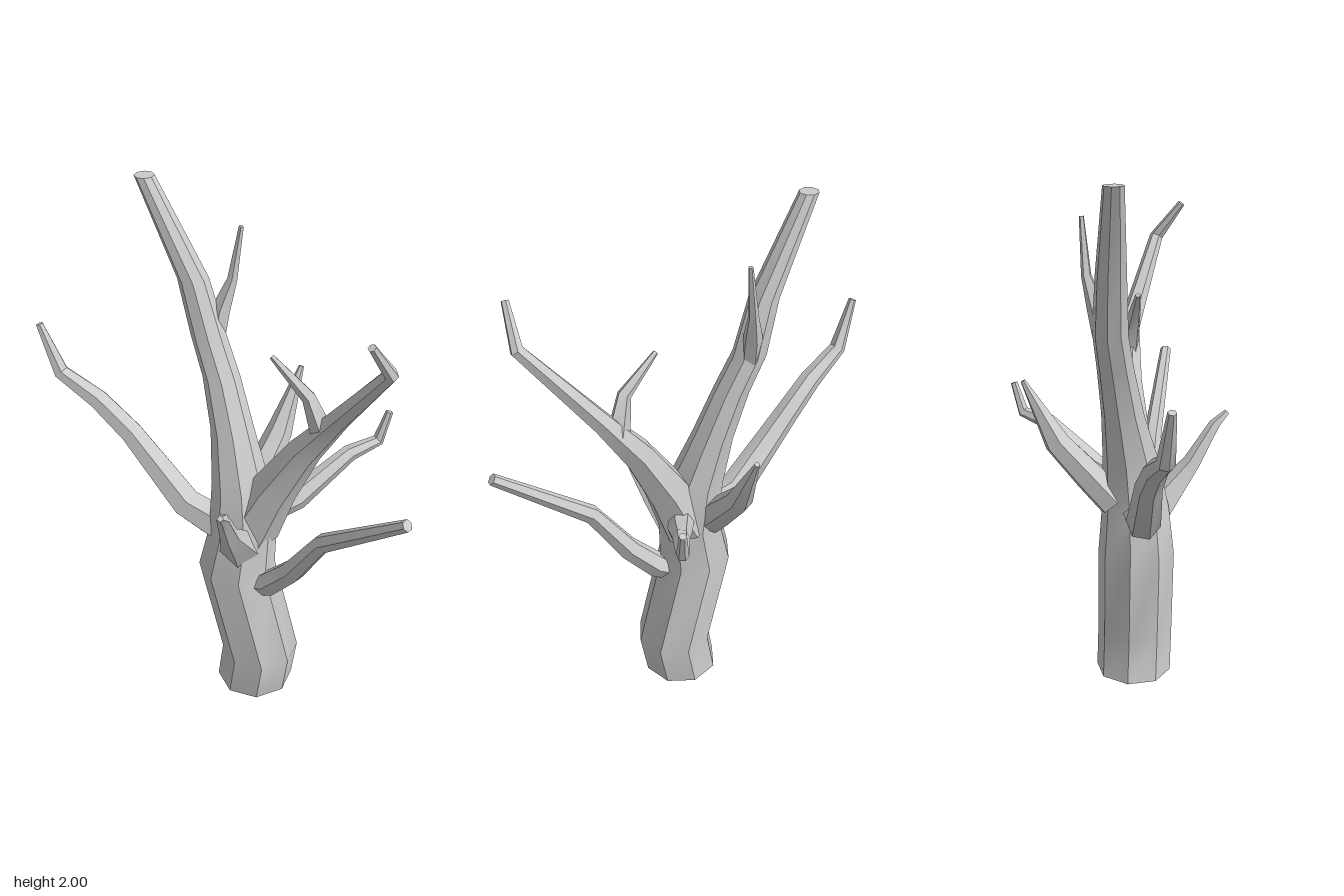
import * as THREE from 'three';
import { toCreasedNormals } from 'three/addons/utils/BufferGeometryUtils.js';

const material = new THREE.MeshStandardMaterial({ color: 0xcccccc });
const UP = new THREE.Vector3(0, 1, 0);

// Faceted tapering limb through stations [x, y, z, radius].
// level: keep every ring horizontal instead of square to the path.
function limb(name, sides, stations, level = false) {
  const centres = stations.map(([x, y, z]) => new THREE.Vector3(x, y, z));
  const last = centres.length - 1;
  const rings = centres.map((c, i) => {
    const dir = centres[Math.min(i + 1, last)].clone().sub(centres[Math.max(i - 1, 0)]).normalize();
    const turn = new THREE.Quaternion();
    if (!level) turn.setFromUnitVectors(UP, dir);
    return Array.from({ length: sides }, (_, k) => {
      const a = (k / sides) * Math.PI * 2;
      return new THREE.Vector3(Math.cos(a), 0, Math.sin(a))
        .multiplyScalar(stations[i][3]).applyQuaternion(turn).add(c);
    });
  });
  const corners = [];
  for (let k = 0; k < sides; k++) {
    const n = (k + 1) % sides;
    for (let i = 0; i < last; i++) {
      const a = rings[i][k], b = rings[i][n], c = rings[i + 1][k], d = rings[i + 1][n];
      corners.push(a, c, b, b, c, d);
    }
    corners.push(centres[0], rings[0][k], rings[0][n]);
    corners.push(centres[last], rings[last][n], rings[last][k]);
  }
  // Soft bends along the limb, sharp edges between its sides
  const geometry = toCreasedNormals(new THREE.BufferGeometry().setFromPoints(corners), 0.6);
  const mesh = new THREE.Mesh(geometry, material);
  mesh.name = name;
  return mesh;
}

export function createModel() {
  const tree = new THREE.Group();
  tree.name = 'bareTree';

  // Trunk running on into the tall rear limb
  tree.add(limb('trunk', 8, [
    [-0.095, 0, 0.087, 0.148], [-0.095, 0.17, 0.115, 0.148], [-0.113, 0.55, 0.01, 0.146],
    [-0.105, 0.73, 0.035, 0.128], [-0.09, 0.92, 0.01, 0.107], [-0.068, 1.12, -0.05, 0.08],
    [-0.052, 1.31, -0.118, 0.068], [-0.045, 1.45, -0.185, 0.064], [-0.056, 1.66, -0.245, 0.056],
    [-0.095, 2, -0.428, 0.036],
  ], true));

  // Tall front limb with its small twig
  tree.add(limb('frontLimb', 6, [
    [-0.085, 0.74, 0.06, 0.11], [-0.06, 0.94, 0.15, 0.086], [-0.03, 1.15, 0.267, 0.062],
    [-0.02, 1.33, 0.4, 0.042], [-0.09, 1.645, 0.655, 0.026], [-0.19, 1.78, 0.65, 0.014],
  ]));
  tree.add(limb('frontLimbTwig', 5, [
    [-0.025, 1.26, 0.34, 0.045], [-0.055, 1.395, 0.3, 0.027], [-0.09, 1.515, 0.16, 0.01],
  ]));

  // Twig on the rear limb
  tree.add(limb('rearLimbTwig', 5, [
    [-0.015, 1.44, -0.175, 0.035], [0.005, 1.54, -0.17, 0.036],
    [0.045, 1.65, -0.15, 0.019], [0.066, 1.85, -0.125, 0.009],
  ]));

  // Long branch reaching backwards
  tree.add(limb('rearBranch', 6, [
    [-0.14, 0.72, -0.04, 0.072], [-0.17, 0.758, -0.2, 0.064], [-0.22, 1.0, -0.44, 0.048],
    [-0.26, 1.11, -0.57, 0.042], [-0.31, 1.195, -0.72, 0.032], [-0.335, 1.385, -0.79, 0.015],
  ]));

  // Low branch reaching forwards
  tree.add(limb('lowFrontBranch', 6, [
    [-0.11, 0.49, 0.09, 0.051], [-0.11, 0.54, 0.18, 0.051], [-0.11, 0.66, 0.29, 0.045],
    [-0.115, 0.87, 0.43, 0.036], [-0.12, 1.14, 0.785, 0.022],
  ]));

  // Branches on the left side
  tree.add(limb('leftFrontBranch', 6, [
    [-0.03, 0.8, 0.1, 0.05], [0.07, 0.83, 0.15, 0.047], [0.27, 0.972, 0.235, 0.032],
    [0.385, 0.995, 0.28, 0.023], [0.424, 1.11, 0.295, 0.014],
  ]));
  tree.add(limb('leftSpike', 6, [
    [-0.03, 0.76, -0.025, 0.062], [0.06, 0.86, -0.033, 0.06],
    [0.18, 0.99, -0.04, 0.05], [0.305, 1.225, -0.042, 0.01],
  ]));

  // Branch on the right side
  tree.add(limb('rightBranch', 5, [
    [-0.16, 0.68, 0.07, 0.08], [-0.235, 0.775, 0.12, 0.058], [-0.305, 0.865, 0.16, 0.037],
    [-0.385, 1.012, 0.205, 0.023], [-0.428, 1.055, 0.235, 0.012],
  ]));

  return tree;
}
